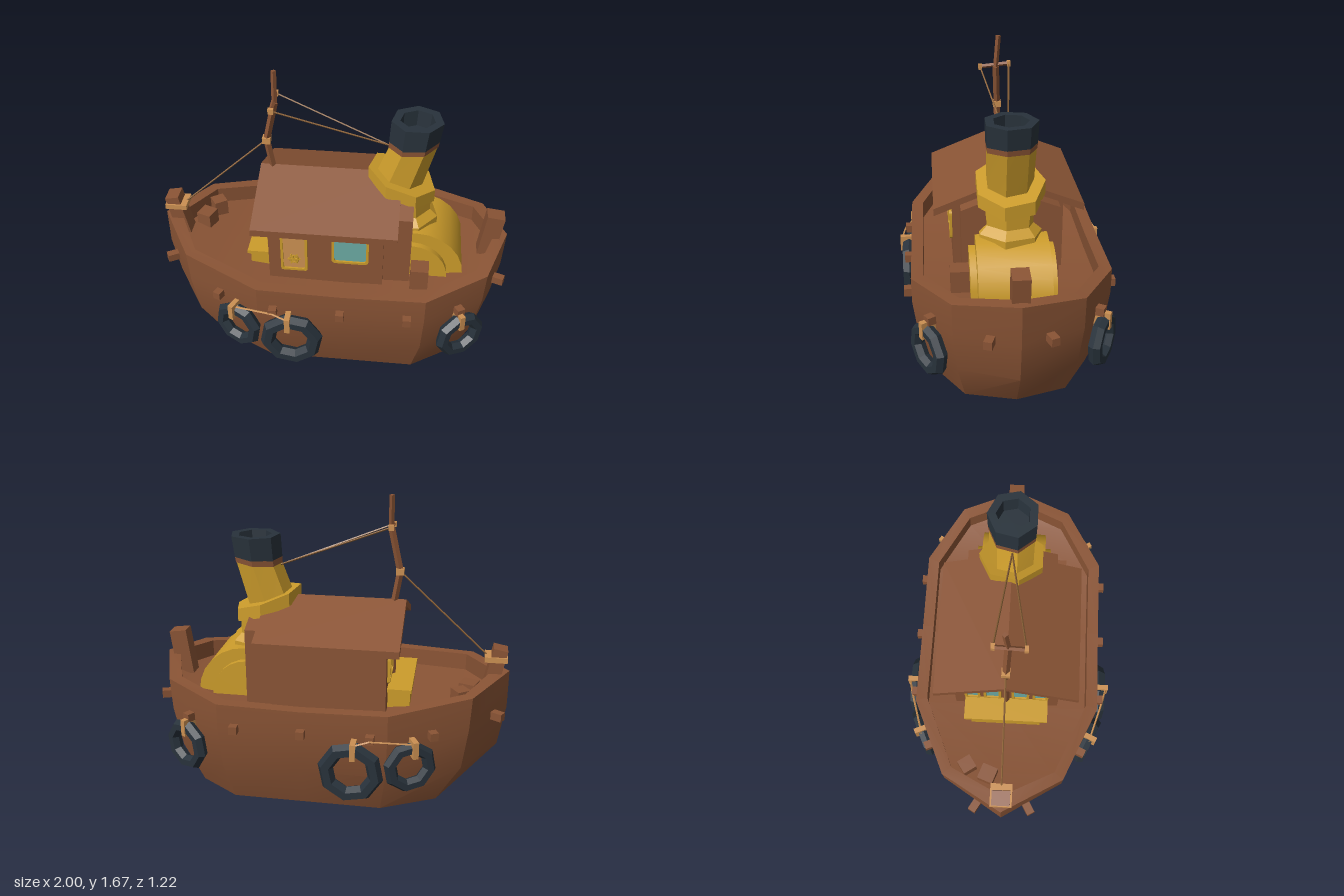
import * as THREE from 'three';
import { toCreasedNormals } from 'three/addons/utils/BufferGeometryUtils.js';

export function createModel() {
  const boat = new THREE.Group();
  boat.name = 'tugboat';
  const mat = (name, color, side = THREE.FrontSide) => {
    const m = new THREE.MeshStandardMaterial({ color, side });
    m.name = name;
    return m;
  };
  const wood = mat('brown wood', 0x8a5435, THREE.DoubleSide);
  const yellow = mat('mustard yellow', 0xcc9c2b);
  const black = mat('blue black', 0x28323b, THREE.DoubleSide);
  const tan = mat('tan', 0xcb9052);
  const glass = mat('teal glass', 0x6caaa3);
  const rope = mat('rope', 0x8c6238);

  const add = (name, geo, material, pos = [0, 0, 0], rot = [0, 0, 0], parent = boat) => {
    const mesh = new THREE.Mesh(geo, material);
    mesh.name = name;
    mesh.position.set(...pos);
    mesh.rotation.set(...rot);
    parent.add(mesh);
    return mesh;
  };
  const box = (name, size, material, pos, rot, parent) =>
    add(name, new THREE.BoxGeometry(...size), material, pos, rot, parent);

  // Straight bar between two points
  const bar = (name, a, b, r, material, sides = 4) => {
    const p = new THREE.Vector3(...a), q = new THREE.Vector3(...b);
    const d = q.clone().sub(p);
    const geo = toCreasedNormals(new THREE.CylinderGeometry(r, r, d.length(), sides), 0.6);
    const m = add(name, geo, material, p.clone().add(q).multiplyScalar(0.5).toArray());
    m.quaternion.setFromUnitVectors(new THREE.Vector3(0, 1, 0), d.normalize());
    return m;
  };

  // Skin over closed rings, each ring running bow, +z side, stern, -z side
  const loft = (rings, crease = 0.4) => {
    const n = rings[0].length, index = [];
    for (let k = 0; k < rings.length - 1; k++) {
      for (let i = 0; i < n; i++) {
        const j = (i + 1) % n, a = k * n, b = a + n;
        index.push(a + i, a + j, b + j, a + i, b + j, b + i);
      }
    }
    const g = new THREE.BufferGeometry();
    g.setAttribute('position', new THREE.Float32BufferAttribute(rings.flat(2), 3));
    g.setIndex(index);
    return toCreasedNormals(g, crease);
  };
  const mirror = (half) => [
    ...half,
    ...half.slice(1, -1).reverse().map(([x, y, z]) => [x, y, -z]),
  ];

  // Hull: open underneath, with a rail and inner bulwark
  const sheer = [0.7, 0.67, 0.62, 0.61, 0.62, 0.66, 0.7];
  const level = (xs, zs, y) => mirror(xs.map((x, i) => [x, y(i), zs[i]]));
  const innerX = [-0.91, -0.76, -0.35, 0.1, 0.52, 0.82, 0.93];
  const innerZ = [0, 0.29, 0.465, 0.465, 0.465, 0.29, 0];
  const deckY = (i) => sheer[i] - 0.1;
  const deckRing = level(innerX, innerZ, deckY);
  add('hull', loft([
    level([-0.72, -0.63, -0.33, 0.1, 0.5, 0.73, 0.8], [0, 0.27, 0.42, 0.42, 0.42, 0.27, 0], () => 0),
    level([-0.96, -0.76, -0.36, 0.1, 0.54, 0.83, 0.95], [0, 0.32, 0.5, 0.5, 0.5, 0.31, 0], () => 0.24),
    level([-1, -0.79, -0.37, 0.1, 0.55, 0.87, 0.99], [0, 0.34, 0.53, 0.53, 0.53, 0.33, 0], () => 0.48),
    level([-1, -0.8, -0.37, 0.1, 0.55, 0.88, 1], [0, 0.34, 0.53, 0.53, 0.53, 0.33, 0], (i) => sheer[i]),
    level(innerX, innerZ, (i) => sheer[i]),
    deckRing,
  ]), wood);
  add('deck', loft([deckRing, deckRing.map(([x, y]) => [x, y, 0])]), wood);

  // Bow and stern posts, deck boxes
  box('bowPost', [0.08, 0.28, 0.1], wood, [-0.915, 0.7, 0], [0, 0, 0.2]);
  box('bowPostBinding', [0.125, 0.03, 0.12], tan, [-0.92, 0.78, 0]);
  box('sternPost', [0.1, 0.27, 0.09], wood, [0.905, 0.705, 0], [0, 0, -0.13]);
  box('deckBox', [0.08, 0.14, 0.08], wood, [-0.735, 0.59, -0.205], [0, 0.6, 0]);
  box('deckBox', [0.09, 0.11, 0.09], wood, [-0.78, 0.6, -0.085], [0, -0.35, 0]);
  box('deckBox', [0.1, 0.14, 0.1], wood, [0.51, 0.58, 0.275]);

  // Cabin and roof: profiles in (z, y) pulled along x
  const prismX = (name, pts, x0, x1) => {
    const shape = new THREE.Shape(pts.map(([z, y]) => new THREE.Vector2(z, y)));
    const g = new THREE.ExtrudeGeometry(shape, { depth: x1 - x0, bevelEnabled: false });
    add(name, g.rotateY(Math.PI / 2).translate(x0, 0, 0), wood);
  };
  prismX('cabin', [[-0.3, 0.5], [0.3, 0.5], [0.3, 0.95], [0, 1.07], [-0.3, 0.95]], -0.335, 0.305);
  prismX('cabinAftBlock', [[-0.26, 0.5], [0.26, 0.5], [0.26, 0.95], [0, 1.05], [-0.26, 0.95]], 0.305, 0.455);
  prismX('roof', [[-0.4, 0.89], [0, 1.05], [0.4, 0.89], [0.4, 0.93], [0, 1.09], [-0.4, 0.93]], -0.41, 0.38);

  // Framed panel facing +z, with rounded corners (top corners may differ)
  const outline = (w, h, r, rt, Type) => {
    const s = new Type(), x = w / 2, y = h / 2;
    s.moveTo(-x + r, -y).lineTo(x - r, -y).quadraticCurveTo(x, -y, x, -y + r);
    s.lineTo(x, y - rt).quadraticCurveTo(x, y, x - rt, y).lineTo(-x + rt, y);
    s.quadraticCurveTo(-x, y, -x, y - rt).lineTo(-x, -y + r).quadraticCurveTo(-x, -y, -x + r, -y);
    return s;
  };
  const panel = (name, w, h, r, rt, fill, pos, ry = 0) => {
    const g = new THREE.Group();
    g.name = name;
    g.position.set(...pos);
    g.rotation.y = ry;
    boat.add(g);
    const frame = outline(w, h, r, rt, THREE.Shape);
    const f = 0.014;
    frame.holes.push(outline(w - 2 * f, h - 2 * f, r * 0.7, rt * 0.8, THREE.Path));
    add(name + 'Frame', new THREE.ExtrudeGeometry(frame, { depth: 0.015, bevelEnabled: false, curveSegments: 4 }), yellow, [0, 0, 0], [0, 0, 0], g);
    add(name + 'Pane', new THREE.ShapeGeometry(outline(w - f, h - f, r, rt, THREE.Shape), 4), fill, [0, 0, 0.005], [0, 0, 0], g);
    return g;
  };
  const door = panel('door', 0.15, 0.25, 0.015, 0.025, tan, [-0.19, 0.715, 0.3]);
  panel('sideWindow', 0.205, 0.175, 0.025, 0.025, glass, [0.123, 0.752, 0.3]);
  for (const s of [-1, 1]) {
    panel('frontWindow', 0.1, 0.2, 0.01, 0.045, glass, [-0.335, 0.78, s * 0.08], -Math.PI / 2);
    panel('frontWindow', 0.09, 0.17, 0.01, 0.04, glass, [-0.335, 0.765, s * 0.195], -Math.PI / 2);
  }
  // Wheel ornament on the door
  add('doorWheel', new THREE.TorusGeometry(0.025, 0.006, 4, 8), yellow, [0, -0.045, 0.01], [0, 0, 0], door);
  for (let i = 0; i < 3; i++)
    box('doorWheelSpoke', [0.072, 0.007, 0.008], yellow, [0, -0.045, 0.01], [0, 0, i * Math.PI / 3], door);

  // Chest ahead of the cabin
  box('chest', [0.13, 0.13, 0.4], yellow, [-0.395, 0.57, 0]);
  box('chestLid', [0.14, 0.02, 0.48], yellow, [-0.4, 0.635, 0]);

  // Engine housing: half drums across the deck
  const drum = (name, r, w, x, y) => {
    const g = new THREE.CylinderGeometry(r, r, w, 12, 1, false, Math.PI / 2, Math.PI).rotateX(Math.PI / 2);
    add(name, toCreasedNormals(g, 0.5), yellow, [x, y, 0]);
  };
  drum('engineHousing', 0.28, 0.38, 0.475, 0.535);
  drum('engineHousingFlange', 0.21, 0.45, 0.455, 0.54);

  // Funnel: seven-sided rings (centre x, centre y, radius, slope along x)
  const ring = ([cx, cy, r, slope]) => Array.from({ length: 7 }, (_, i) => {
    const a = ((i + 0.25) / 7) * Math.PI * 2, dx = -r * Math.cos(a);
    return [cx + dx, cy + slope * dx, r * Math.sin(a)];
  });
  const stack = (name, rows, material) => add(name, loft(rows.map(ring), 0.2), material);
  stack('funnelBase', [
    [0.41, 0.76, 0.185, 0], [0.41, 0.83, 0.185, 0], [0.41, 0.87, 0.14, 0], [0.4, 0.99, 0.15, -0.35],
    [0.38, 1.0, 0.19, -0.35], [0.38, 1.075, 0.19, -0.35], [0.365, 1.08, 0.12, -0.35],
  ], yellow);
  stack('funnelPipe', [[0.36, 1.05, 0.13, -0.3], [0.43, 1.28, 0.133, 0.08]], yellow);
  stack('funnelBand', [[0.43, 1.275, 0.136, 0.08], [0.433, 1.31, 0.138, 0.08]], wood);
  stack('funnelCap', [
    [0.433, 1.305, 0.138, 0.08], [0.445, 1.43, 0.142, 0], [0.445, 1.43, 0.095, 0],
    [0.44, 1.34, 0.09, 0], [0.44, 1.34, 0, 0],
  ], black);

  // Mast, crossbar and rigging
  const bend = [-0.37, 1.25, 0], head = [-0.315, 1.49, 0.01];
  bar('mastFoot', [-0.345, 0.55, 0], [-0.345, 1.08, 0], 0.016, wood);
  bar('mastLower', [-0.338, 1.05, 0], bend, 0.019, wood);
  bar('mastMiddle', bend, head, 0.019, wood);
  bar('mastTop', head, [-0.315, 1.67, -0.005], 0.015, wood);
  box('mastBinding', [0.045, 0.035, 0.045], tan, bend);
  bar('crossbar', [-0.32, 1.49, 0.105], [-0.32, 1.507, -0.07], 0.012, wood);
  for (const [y, z] of [[1.49, 0.1], [1.506, -0.065]]) {
    box('crossbarBinding', [0.03, 0.03, 0.02], tan, [-0.32, y, z]);
    bar('funnelRope', [-0.32, y, z], [0.3, 1.26, 0], 0.005, rope);
  }
  bar('bowRope', bend, [-0.88, 0.78, 0], 0.005, rope);

  // Tyres (x, y, z, ring radius, tube radius, turn) with ties, on both sides
  const tyres = [
    [-0.18, 0.295, 0.557, 0.137, 0.043, 0],
    [-0.49, 0.325, 0.5, 0.113, 0.037, -0.42],
    [0.755, 0.325, 0.45, 0.113, 0.037, 0.545],
  ];
  const pegs = [
    [-0.945, 0.155, -1.04], [-0.6, 0.44, -0.42], [-0.28, 0.54, 0], [0.09, 0.54, 0],
    [0.455, 0.54, 0], [0.735, 0.43, 0.545], [0.965, 0.155, 1.22],
  ];
  for (const s of [-1, 1]) {
    for (const [x, y, z, R, r, turn] of tyres) {
      add('tyre', toCreasedNormals(new THREE.TorusGeometry(R, r, 6, 8), 0.3), black, [x, y, s * z], [0, s * turn, 0.2]);
      box('tyreTie', [0.03, 0.095, r * 2 + 0.015], tan, [x - 0.015, y + R, s * z], [0, s * turn, 0]);
    }
    for (const [x, z, turn] of pegs)
      box('hullPeg', [0.045, 0.045, 0.065], wood, [x, 0.49, s * z], [0, s * turn, 0]);
    bar('tyreRope', [-0.53, 0.455, s * 0.5], [-0.28, 0.49, s * 0.575], 0.006, tan);
    bar('tyreRope', [-0.28, 0.49, s * 0.575], [-0.2, 0.47, s * 0.595], 0.006, tan);
  }
  return boat;
}
